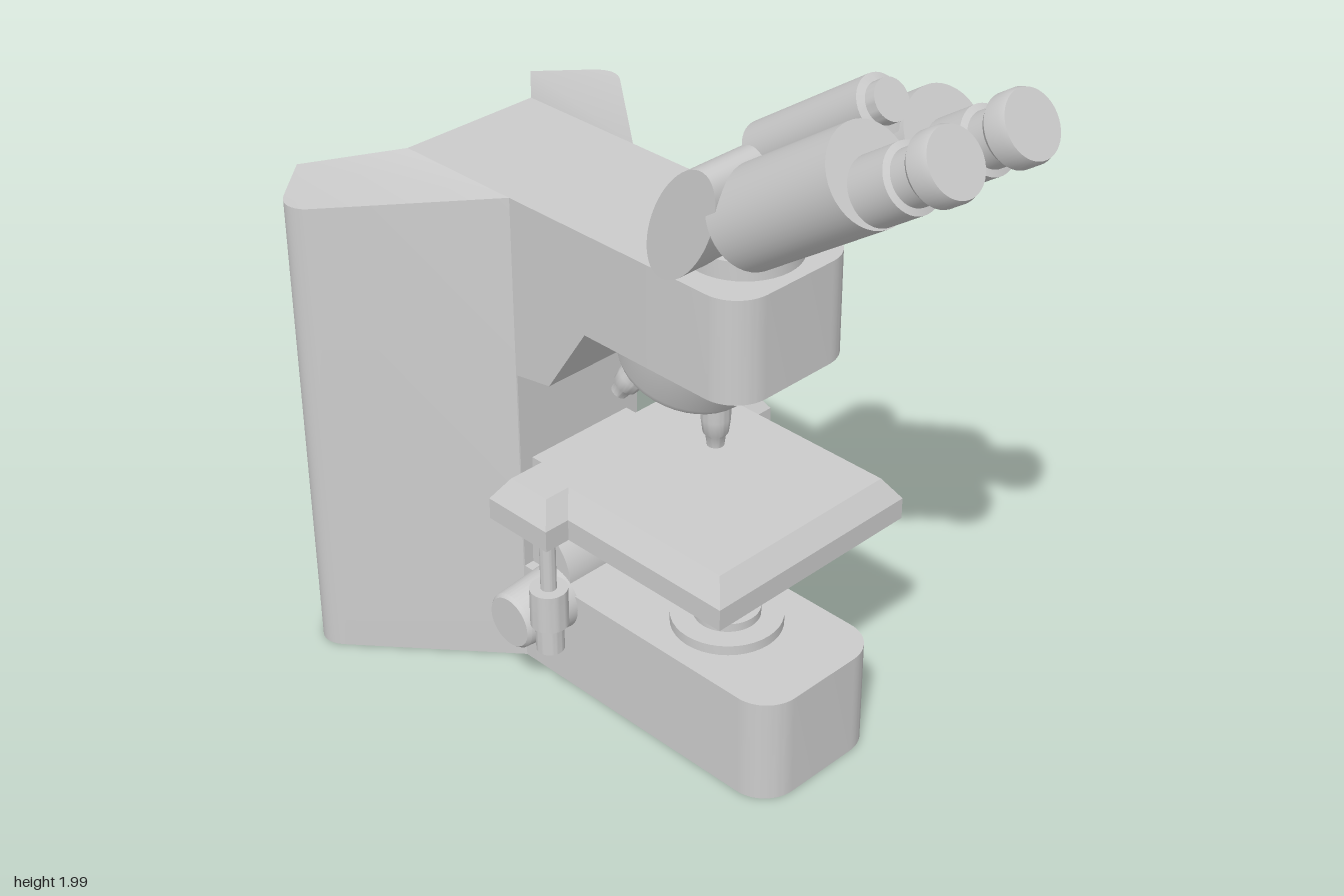
import * as THREE from 'three';
import { toCreasedNormals } from 'three/addons/utils/BufferGeometryUtils.js';

const grey = new THREE.MeshStandardMaterial({ color: 0xcccccc });

function add(parent, name, geometry, x = 0, y = 0, z = 0) {
  const mesh = new THREE.Mesh(geometry, grey);
  mesh.name = name;
  mesh.position.set(x, y, z);
  parent.add(mesh);
  return mesh;
}

// Turned part from [radius, height] pairs, bottom to top
function turned(profile) {
  const points = profile.map(([r, y]) => new THREE.Vector2(r, y));
  return toCreasedNormals(new THREE.LatheGeometry(points, 40), 0.6);
}

const disc = (r, h) => turned([[0, 0], [r, 0], [r, h], [0, h]]);

// Upright prism from a plan drawn in (x, -z)
function prism(shape, height) {
  const g = new THREE.ExtrudeGeometry(shape, { depth: height, bevelEnabled: false, curveSegments: 10 });
  return g.rotateX(-Math.PI / 2);
}

// Block with rounded front corners
function roundedFront(w, back, front, r) {
  const s = new THREE.Shape();
  s.moveTo(w, -back);
  s.lineTo(-w, -back);
  s.lineTo(-w, -front + r);
  s.absarc(-w + r, -front + r, r, Math.PI, Math.PI * 1.5, false);
  s.absarc(w - r, -front + r, r, Math.PI * 1.5, Math.PI * 2, false);
  s.closePath();
  return s;
}

const polygon = (pts) => new THREE.Shape(pts.map(([x, y]) => new THREE.Vector2(x, y)));

// Move vertices by a rule and rebuild the normals
function reshape(g, rule) {
  const p = g.attributes.position;
  const v = new THREE.Vector3();
  for (let i = 0; i < p.count; i++) {
    rule(v.fromBufferAttribute(p, i));
    p.setXYZ(i, v.x, v.y, v.z);
  }
  return toCreasedNormals(g, 0.5);
}

function buildStand(root) {
  const stand = new THREE.Group();
  stand.name = 'stand';
  root.add(stand);
  add(stand, 'base', toCreasedNormals(prism(roundedFront(0.21, -0.4, 0.52, 0.1), 0.3), 0.5));
  add(stand, 'column', new THREE.BoxGeometry(0.42, 1.4, 0.39), 0, 0.7, -0.56);

  // Wings splayed to the back, tops falling towards the tips
  for (const s of [1, -1]) {
    const wing = new THREE.Shape();
    wing.moveTo(s * 0.21, 0.37);
    wing.lineTo(s * 0.53, 0.75);
    wing.quadraticCurveTo(s * 0.58, 0.805, s * 0.53, 0.855);
    wing.lineTo(s * 0.4, 0.97);
    wing.lineTo(s * 0.21, 0.755);
    wing.closePath();
    add(stand, s > 0 ? 'leftWing' : 'rightWing', reshape(prism(wing, 1.4), (v) => {
      if (v.y > 1 && Math.abs(v.x) > 0.3) v.y = 1.345;
    }));
  }

  // Upper arm: rounded nose and a bracket sloping back to the column
  add(stand, 'armNose', toCreasedNormals(prism(roundedFront(0.21, 0.1, 0.4, 0.1), 0.28), 0.5), 0, 1.12, 0);
  const side = polygon([[0.1, 1.12], [0.1, 1.4], [-0.38, 1.4], [-0.38, 0.892], [-0.245, 0.915], [-0.11, 1.12]]);
  const bracket = new THREE.ExtrudeGeometry(side, { depth: 0.42, bevelEnabled: false });
  add(stand, 'armBracket', bracket.rotateY(-Math.PI / 2), 0.21, 0, 0);

  // Power housing on the back, with chamfered corners and a sloping top edge
  const plan = polygon([[0.165, 0.75], [0.165, 0.86], [0.15, 0.89], [0.11, 0.93],
    [-0.11, 0.93], [-0.15, 0.89], [-0.165, 0.86], [-0.165, 0.75]]);
  add(stand, 'powerHousing', reshape(prism(plan, 0.54), (v) => {
    if (v.y > 0.3 && v.z < -0.86) v.y -= (-0.86 - v.z) * 1.15;
  }));

  // Lamp outlet on the base
  add(stand, 'lampRing', disc(0.148, 0.03), 0, 0.298, 0.18);
  add(stand, 'lampLens', disc(0.088, 0.027), 0, 0.325, 0.18);

  // Focus drive
  add(stand, 'focusHousing', disc(0.14, 0.36).rotateZ(-Math.PI / 2), -0.18, 0.3, -0.36);
  for (const s of [1, -1]) {
    const knob = add(stand, 'focusKnob', turned([[0, 0], [0.09, 0], [0.078, 0.155], [0.07, 0.165], [0, 0.165]]),
      s * 0.205, 0.26, -0.25);
    knob.rotation.z = -s * Math.PI / 2;
  }
  add(stand, 'lampKnob', disc(0.045, 0.06).rotateZ(-Math.PI / 2), 0.205, 0.185, 0.31);
}

function buildStage(root) {
  const stage = new THREE.Group();
  stage.name = 'stage';
  root.add(stage);

  // T-shaped plate: straight lower slab and bevelled upper slab
  const plan = polygon([[-0.33, -0.47], [0.33, -0.47], [0.33, 0.055], [0.405, 0.055],
    [0.405, 0.265], [-0.405, 0.265], [-0.405, 0.055], [-0.33, 0.055]]);
  add(stage, 'stagePlate', prism(plan, 0.06), 0, 0.6, 0);
  add(stage, 'stageTop', reshape(prism(plan, 0.06), (v) => {
    if (v.y < 0.03) return;
    v.x -= Math.sign(v.x) * 0.04;
    v.z += v.z > -0.1 ? -0.04 : 0.04;
  }), 0, 0.66, 0);
  add(stage, 'condenser', disc(0.168, 0.065), 0, 0.54, 0.145);
  add(stage, 'stageBracket', new THREE.BoxGeometry(0.34, 0.155, 0.36), 0, 0.55, -0.195);

  // Hanging stage controls
  const control = [[0, 0], [0.037, 0], [0.037, 0.07], [0.05, 0.08], [0.05, 0.19], [0.021, 0.19], [0.021, 0.36]];
  for (const s of [1, -1]) add(stage, 'stageControl', turned(control), s * 0.353, 0.247, -0.11);
}

function buildNosepiece(root) {
  const nose = new THREE.Group();
  nose.name = 'nosepiece';
  nose.position.set(0, 1.01, 0.03);
  nose.rotation.x = 0.36;
  root.add(nose);
  add(nose, 'turret', turned([[0, 0], [0.15, 0], [0.175, 0.01], [0.185, 0.03], [0.185, 0.2], [0, 0.2]]));
  [1, 1, 0.75].forEach((length, i) => {
    const pivot = new THREE.Group();
    pivot.name = 'objectiveMount';
    pivot.rotation.y = i * Math.PI * 2 / 3;
    nose.add(pivot);
    const objective = add(pivot, 'objective', turned([[0, -0.15], [0.022, -0.15], [0.026, -0.12],
      [0.033, -0.11], [0.038, -0.07], [0.038, 0.03], [0, 0.03]]), 0, 0, 0.11);
    objective.rotation.x = -0.36;
    objective.scale.y = length;
  });
}

function buildHead(root) {
  add(root, 'headMount', disc(0.147, 0.055), 0, 1.395, 0.218);

  // Oval cross barrel
  const barrel = new THREE.CylinderGeometry(1, 1, 0.474, 48).rotateZ(Math.PI / 2);
  barrel.scale(1, 0.175, 0.082).rotateX(0.48);
  add(root, 'headBarrel', barrel, 0, 1.565, 0.245);

  // Inclined tubes; eyepieces sit flush with the lower side of their tubes
  const tubes = new THREE.Group();
  tubes.name = 'viewingTubes';
  tubes.position.set(0, 1.58, 0.35);
  tubes.rotation.x = 0.972;
  root.add(tubes);
  const eyepiece = [[0.082, 0], [0.082, 0.115], [0.066, 0.12], [0.066, 0.172], [0.076, 0.178],
    [0.086, 0.192], [0.086, 0.235], [0.081, 0.25], [0, 0.25]];
  for (const s of [1, -1]) {
    add(tubes, 'viewingTube', disc(0.122, 0.42), s * 0.125, 0, 0);
    add(tubes, 'eyepiece', turned(eyepiece), s * 0.125, 0.418, 0.037);
  }
  add(tubes, 'cameraTube', turned([[0, 0], [0.07, 0], [0.07, 0.4], [0.05, 0.405], [0.05, 0.435], [0, 0.435]]),
    0, 0.005, -0.125);
}

export function createModel() {
  const root = new THREE.Group();
  root.name = 'microscope';
  buildStand(root);
  buildStage(root);
  buildNosepiece(root);
  buildHead(root);
  return root;
}
